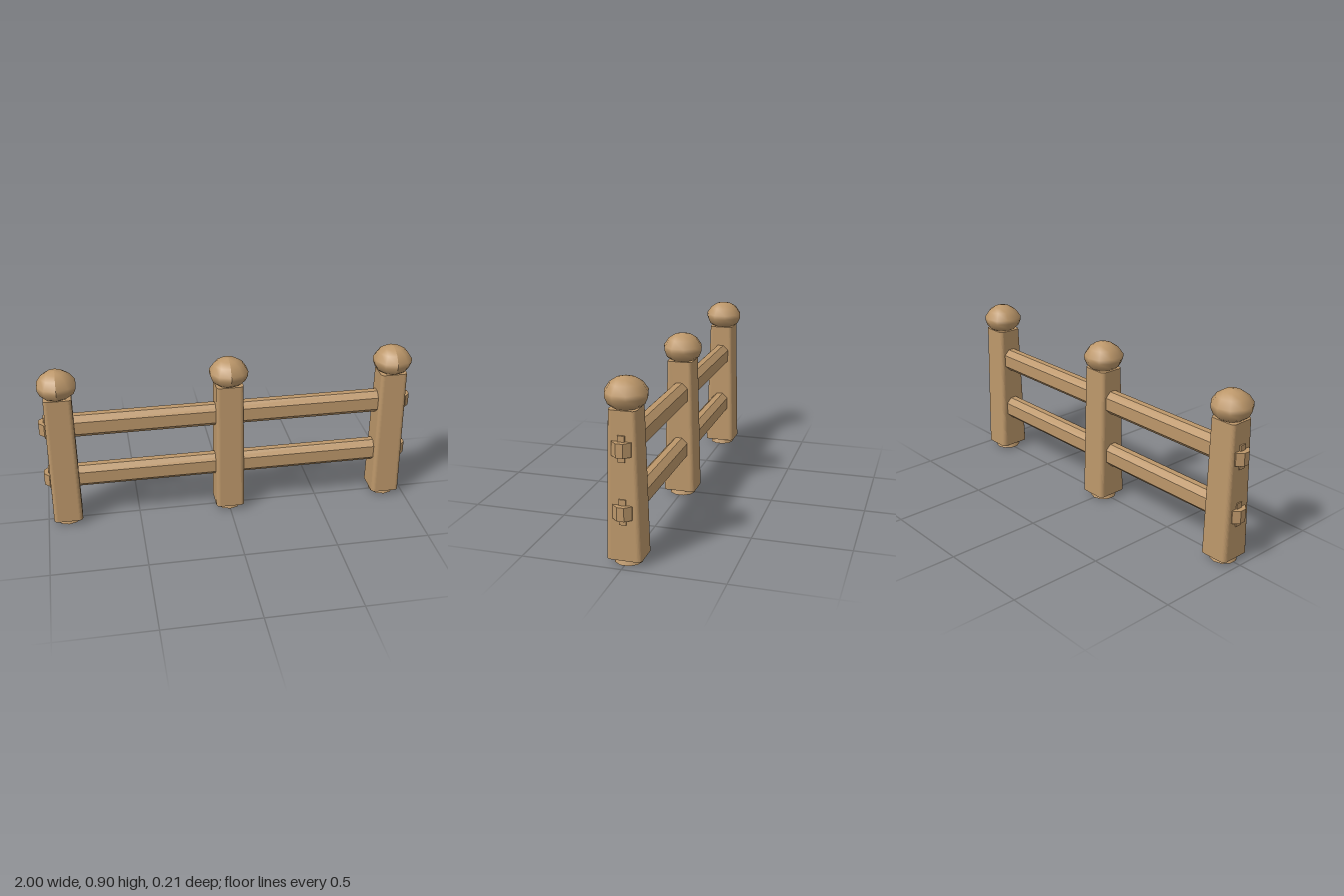
import * as THREE from 'three';

const wood = new THREE.MeshStandardMaterial({ color: 0xbc976a });
wood.name = 'wood';

function mesh(name, geometry) {
  const m = new THREE.Mesh(geometry, wood);
  m.name = name;
  return m;
}

// Prism made from a closed outline, centred on z before any turning
function prism(points, depth) {
  const shape = new THREE.Shape(points.map(([x, y]) => new THREE.Vector2(x, y)));
  const g = new THREE.ExtrudeGeometry(shape, { depth, bevelEnabled: false });
  return g.translate(0, 0, -depth / 2);
}

// Rounded square shaft that narrows towards the top
function shaftGeometry() {
  const h = 0.725, r = 0.022, c = 0.078;
  const s = new THREE.Shape();
  [[1, 1, 0], [-1, 1, 1], [-1, -1, 2], [1, -1, 3]].forEach(([sx, sy, q]) => {
    s.absarc(sx * (c - r), sy * (c - r), r, q * Math.PI / 2, (q + 1) * Math.PI / 2, false);
  });
  const g = new THREE.ExtrudeGeometry(s, { depth: h, bevelEnabled: false, curveSegments: 3 });
  g.rotateX(-Math.PI / 2);
  const p = g.attributes.position;
  for (let i = 0; i < p.count; i++) {
    const t = p.getY(i) / h;
    p.setX(i, p.getX(i) * (1 - 0.07 * t));
    p.setZ(i, p.getZ(i) * (1.1 - 0.24 * t));
  }
  g.computeVertexNormals();
  return g.translate(0, 0.03, 0);
}

// Knob with a slightly uneven, hand-carved outline
function knobGeometry() {
  const profile = [[0, 0.752], [0.066, 0.755], [0.09, 0.774], [0.103, 0.805], [0.104, 0.828],
    [0.078, 0.866], [0.045, 0.888], [0, 0.898]];
  const g = new THREE.LatheGeometry(profile.map(([r, y]) => new THREE.Vector2(r, y)), 10);
  const p = g.attributes.position;
  for (let i = 0; i < p.count; i++) {
    const a = Math.atan2(p.getZ(i), p.getX(i));
    const k = 1 + 0.02 * Math.cos(3 * a);
    p.setX(i, p.getX(i) * k);
    p.setZ(i, p.getZ(i) * k);
  }
  g.computeVertexNormals();
  return g;
}

function createPost(x) {
  const post = new THREE.Group();
  post.name = 'post';
  post.add(mesh('shaft', shaftGeometry()));
  post.add(mesh('knob', knobGeometry()));
  const foot = mesh('foot', new THREE.CylinderGeometry(0.056, 0.069, 0.035, 10));
  foot.position.y = 0.0175;
  post.add(foot);
  post.position.x = x;
  return post;
}

function createRail(y) {
  const rail = new THREE.Group();
  rail.name = 'rail';
  // Eight-sided beam running through all the posts
  const w = 0.047, n = 0.017, h = 0.0625, k = 0.034;
  const beam = prism([[w, -k], [w, k], [n, h], [-n, h], [-w, k], [-w, -k], [-n, -h], [n, -h]], 1.9);
  rail.add(mesh('beam', beam.rotateY(Math.PI / 2)));
  // Bevelled tenon showing beyond the end posts
  const tenon = prism([[0.972, -w], [1, -n], [1, n], [0.972, w],
    [-0.972, w], [-1, n], [-1, -n], [-0.972, -w]], 2 * k);
  rail.add(mesh('tenon', tenon.rotateX(Math.PI / 2)));
  // Upright wedges crossing the tenon ends
  for (const side of [-1, 1]) {
    const wedge = mesh('wedge', new THREE.BoxGeometry(0.04, 2 * h, 2 * n));
    wedge.position.x = side * 0.954;
    rail.add(wedge);
  }
  rail.position.y = y;
  return rail;
}

export function createModel() {
  const fence = new THREE.Group();
  fence.name = 'fence';
  for (const x of [-0.892, 0, 0.892]) fence.add(createPost(x));
  for (const y of [0.273, 0.578]) fence.add(createRail(y));
  return fence;
}
